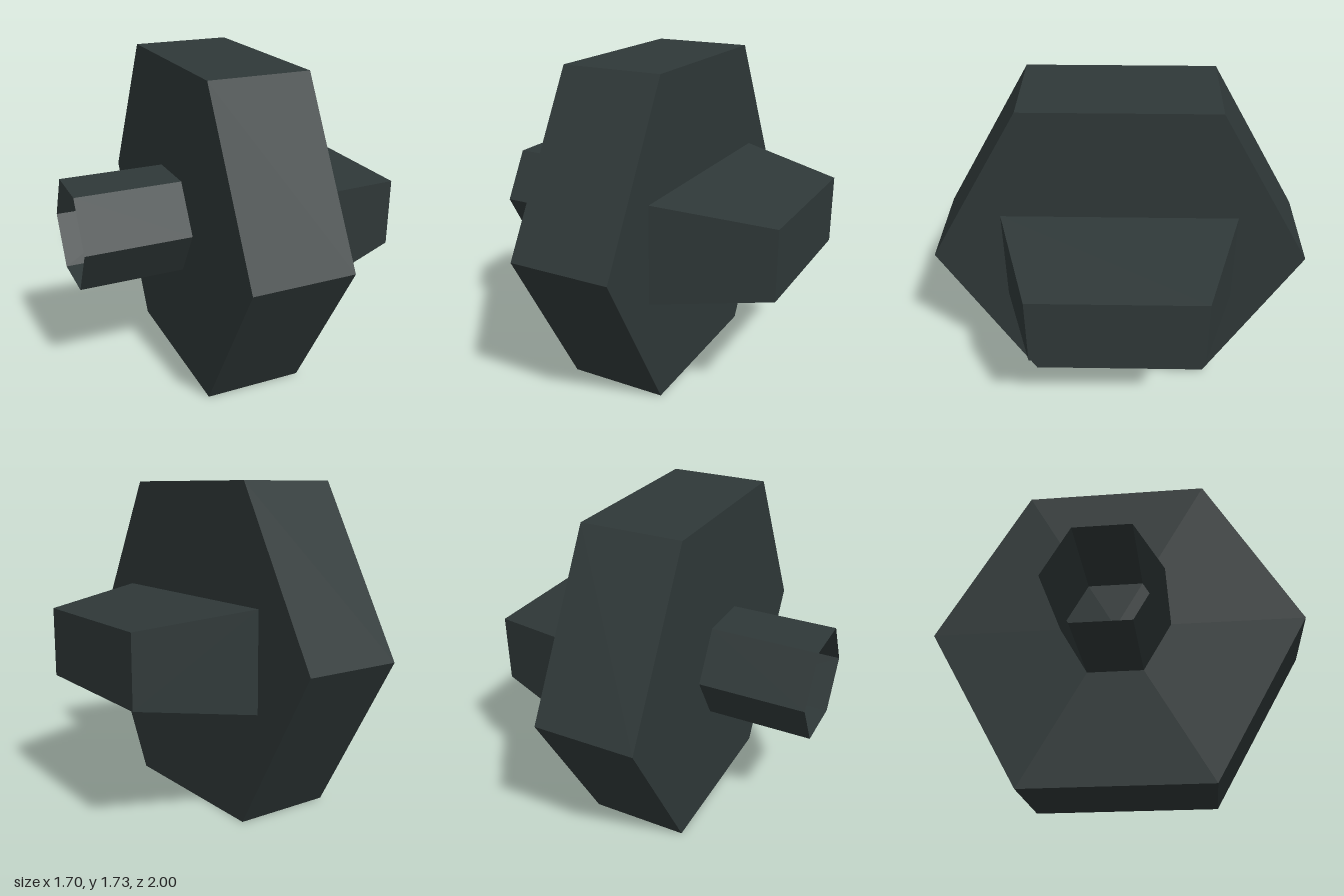
import * as THREE from 'three';

export function createModel() {
  const group = new THREE.Group();
  const darkSlate = new THREE.MeshStandardMaterial({ color: 0x2f3838, flatShading: true, side: THREE.DoubleSide });
  darkSlate.name = 'darkSlate';
  const axisY = 0.866;

  const add = (name, geometry, x) => {
    const mesh = new THREE.Mesh(geometry, darkSlate);
    mesh.name = name;
    mesh.position.set(x, axisY, 0);
    group.add(mesh);
  };

  // Six-sided prism lying along x, with corners pointing to +z and -z
  const hexPrism = (radius, length, open) =>
    new THREE.CylinderGeometry(radius, radius, length, 6, 1, open).rotateZ(Math.PI / 2);

  // Main hexagonal wheel
  add('wheel', hexPrism(1, 0.54, false), -0.01);

  // Hollow axle stub, open at its outer end
  add('axleTube', hexPrism(0.298, 0.575, true), -0.5675);

  // Tapered block on the other side: box narrowed at its outer end
  const block = new THREE.BoxGeometry(0.59, 0.525, 1.24);
  const p = block.attributes.position;
  for (let i = 0; i < p.count; i++) {
    if (p.getX(i) > 0) {
      p.setY(i, Math.sign(p.getY(i)) * 0.187);
      p.setZ(i, Math.sign(p.getZ(i)) * 0.437);
    }
  }
  block.computeVertexNormals();
  add('taperedBlock', block, 0.555);

  return group;
}
